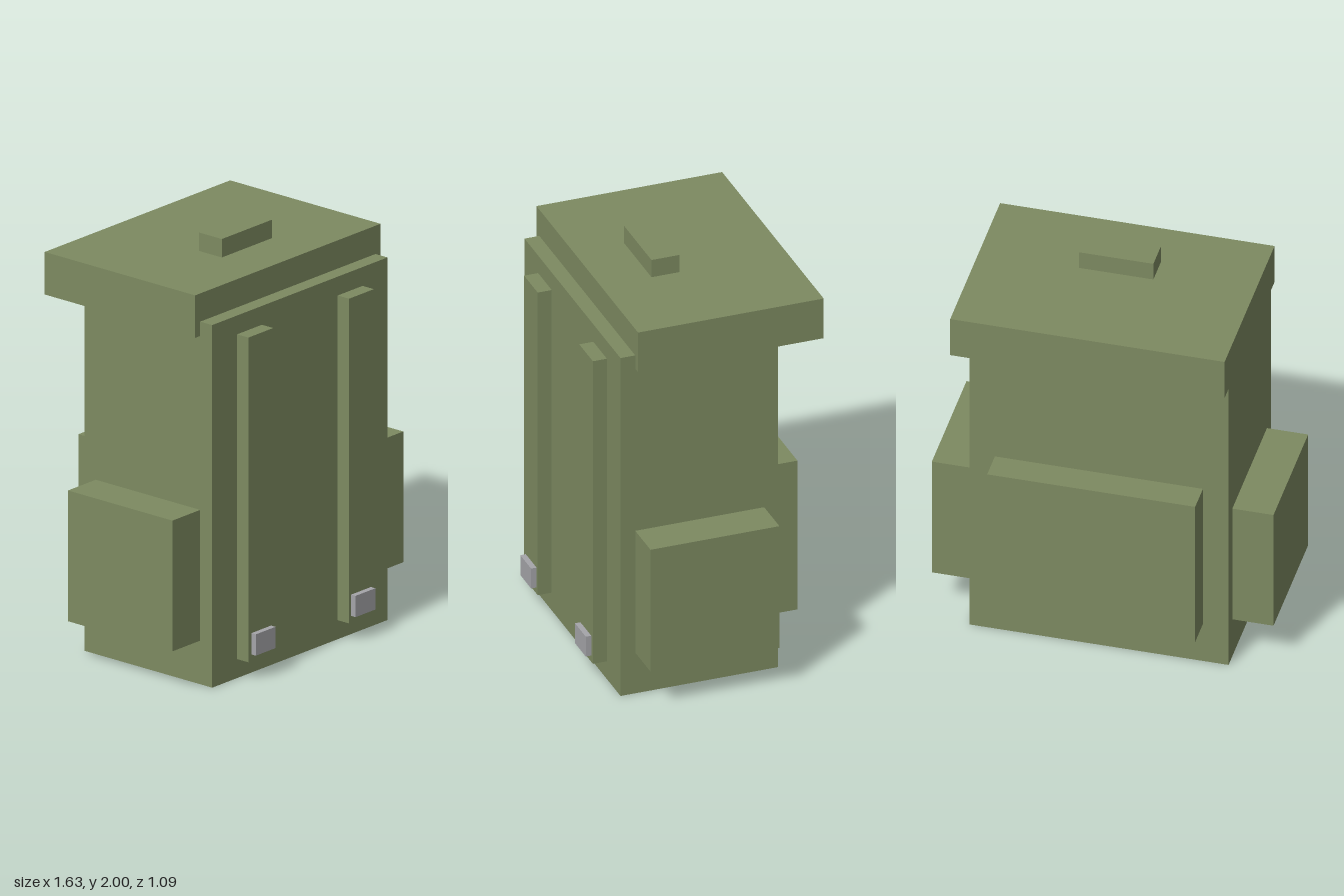
import * as THREE from 'three';

export function createModel() {
  const model = new THREE.Group();
  model.name = 'backpack';

  const canvas = new THREE.MeshStandardMaterial({ color: 0x7d8a61 });
  canvas.name = 'olive canvas';
  const metal = new THREE.MeshStandardMaterial({ color: 0xa5a5a9 });
  metal.name = 'grey metal';

  // Box given by its [min, max] extent on each axis
  function block(name, material, [x0, x1], [y0, y1], [z0, z1]) {
    const mesh = new THREE.Mesh(new THREE.BoxGeometry(x1 - x0, y1 - y0, z1 - z0), material);
    mesh.position.set((x0 + x1) / 2, (y0 + y1) / 2, (z0 + z1) / 2);
    mesh.name = name;
    model.add(mesh);
  }

  // Main bag, overhanging lid and grab handle
  block('body', canvas, [-0.617, 0.617], [0, 1.772], [-0.332, 0.446]);
  block('lid', canvas, [-0.653, 0.653], [1.702, 1.91], [-0.543, 0.373]);
  block('handle', canvas, [-0.177, 0.177], [1.91, 2], [-0.015, 0.124]);

  // Large pocket on the back
  block('backPocket', canvas, [-0.495, 0.495], [0.213, 0.993], [-0.474, -0.332]);

  // Side pockets, shoulder straps and strap buckles, mirrored in x
  for (const [side, s] of [['left', 1], ['right', -1]]) {
    const span = (a, b) => (s > 0 ? [a, b] : [-b, -a]);
    block(side + 'SidePocket', canvas, span(0.617, 0.813), [0.213, 0.852], [-0.263, 0.373]);
    block(side + 'Strap', canvas, span(0.267, 0.442), [0.093, 1.68], [0.446, 0.515]);
    block(side + 'Buckle', metal, span(0.282, 0.421), [0.126, 0.23], [0.515, 0.542]);
  }

  return model;
}
